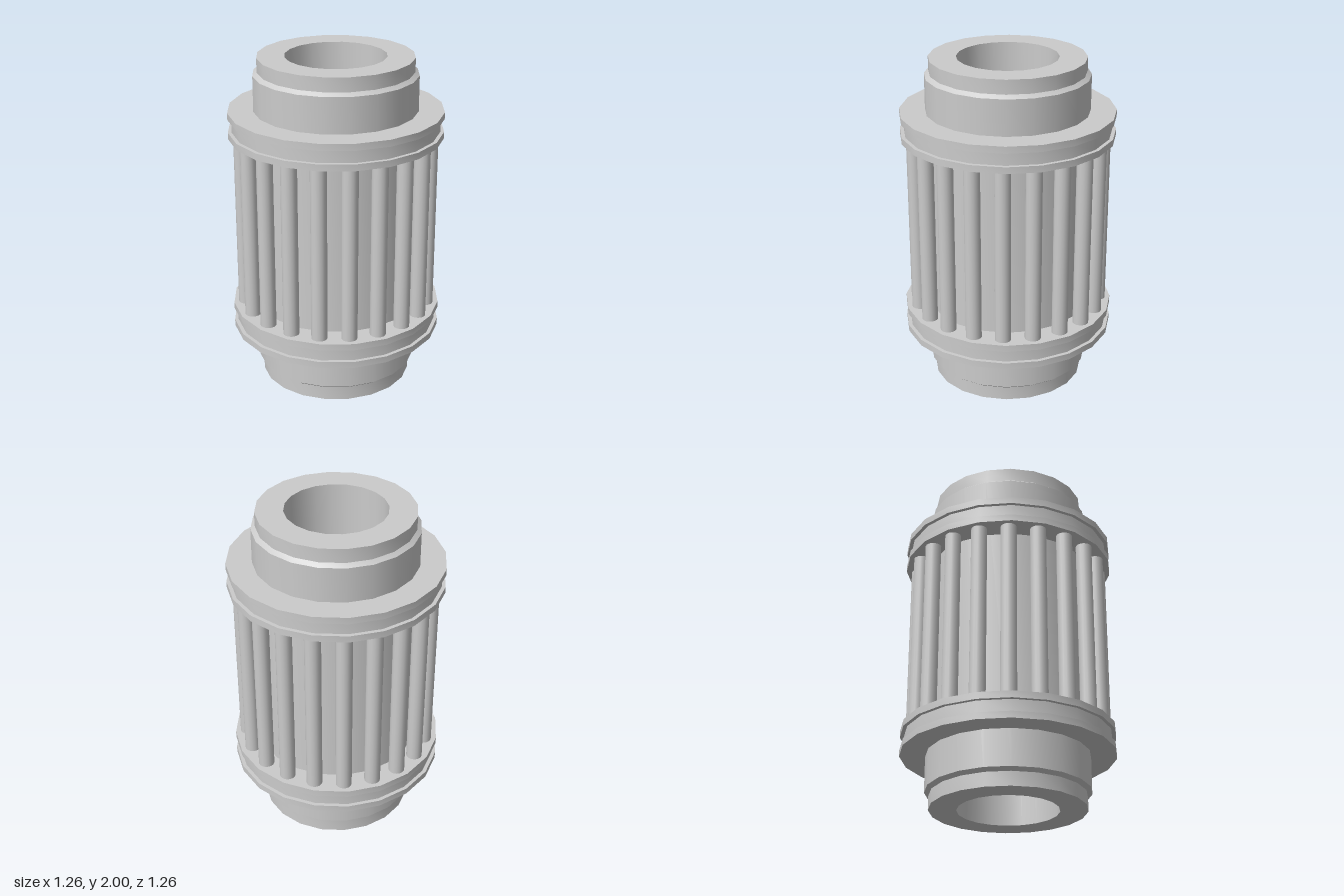
import * as THREE from 'three';
import { toCreasedNormals } from 'three/addons/utils/BufferGeometryUtils.js';

const SIDES = 20;
const BORE = 0.295;

export function createModel() {
  const group = new THREE.Group();
  const material = new THREE.MeshStandardMaterial({ color: 0xcccccc });

  // Closed ring turned from [radius, y] points: outside going up, inside going down
  const ring = (name, profile) => {
    const points = [...profile, profile[0]].map(([r, y]) => new THREE.Vector2(r, y));
    const geometry = toCreasedNormals(new THREE.LatheGeometry(points, SIDES), 0.6);
    const mesh = new THREE.Mesh(geometry, material);
    mesh.name = name;
    group.add(mesh);
  };

  // Hollow core with chamfered, stepped necks at both ends
  ring('coreTube', [
    [BORE, 0], [0.455, 0], [0.455, 0.083], [0.48, 0.102],
    [0.48, 1.898], [0.455, 1.917], [0.455, 2], [BORE, 2],
  ]);

  // Grooved collars: two thin flanges with a slightly recessed band between them
  const collar = (name, y) => ring(name, [
    [0.46, y], [0.63, y], [0.63, y + 0.039], [0.608, y + 0.039],
    [0.608, y + 0.116], [0.63, y + 0.116], [0.63, y + 0.156], [0.46, y + 0.156],
  ]);
  collar('lowerCollar', 0.318);
  collar('upperCollar', 1.531);

  // Cage of upright rods between the collars
  const rods = new THREE.Group();
  rods.name = 'rodCage';
  const rodGeometry = new THREE.CylinderGeometry(0.047, 0.047, 1.07, 16);
  for (let i = 0; i < 20; i++) {
    const angle = (i * 18 - 1.7) * Math.PI / 180;
    const rod = new THREE.Mesh(rodGeometry, material);
    rod.name = 'rod';
    rod.position.set(0.553 * Math.sin(angle), 1.0025, 0.553 * Math.cos(angle));
    rods.add(rod);
  }
  group.add(rods);

  return group;
}
